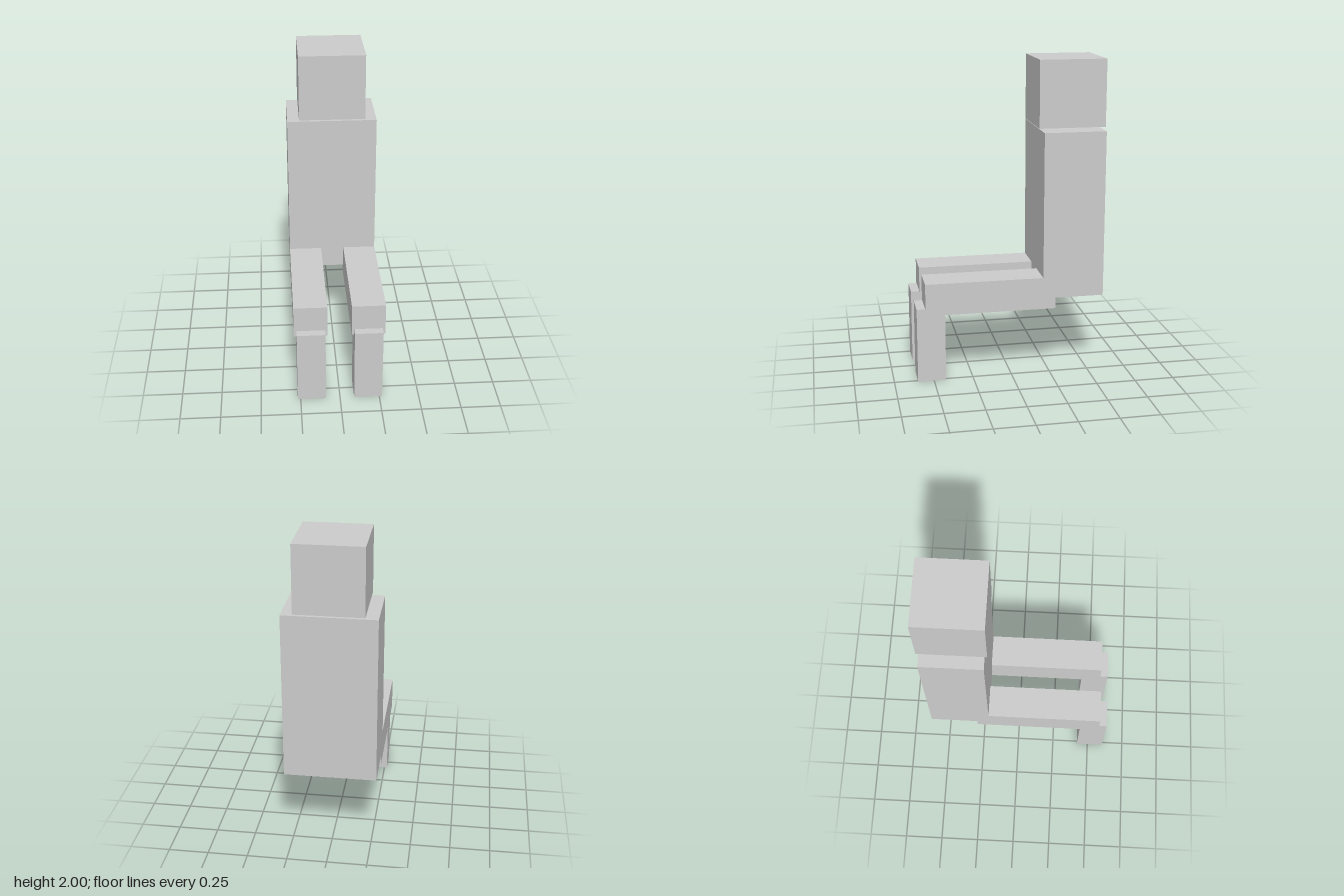
import * as THREE from 'three';

const material = new THREE.MeshStandardMaterial({ color: 0xcccccc, flatShading: true });

// Box given by its [min, max] extent along each axis
function block(name, [x0, x1], [y0, y1], [z0, z1]) {
  const mesh = new THREE.Mesh(new THREE.BoxGeometry(x1 - x0, y1 - y0, z1 - z0), material);
  mesh.position.set((x0 + x1) / 2, (y0 + y1) / 2, (z0 + z1) / 2);
  mesh.name = name;
  return mesh;
}

export function createModel() {
  const model = new THREE.Group();
  model.name = 'seatedFigure';

  // Upright upper body, with a small gap under the head
  model.add(
    block('head', [-0.21, 0.21], [1.58, 2], [-0.602, -0.182]),
    block('torso', [-0.285, 0.285], [0.51, 1.565], [-0.587, -0.198])
  );

  // Bent legs: thighs run forward from inside the torso, shins drop to the ground
  for (const [side, s] of [['left', 1], ['right', -1]]) {
    const leg = new THREE.Group();
    leg.name = side + 'Leg';
    const across = (inner, outer) => (s > 0 ? [inner, outer] : [-outer, -inner]);
    leg.add(
      block(side + 'Thigh', across(0.075, 0.285), [0.44, 0.645], [-0.277, 0.548]),
      block(side + 'Shin', across(0.09, 0.268), [0, 0.48], [0.424, 0.602])
    );
    model.add(leg);
  }
  return model;
}
